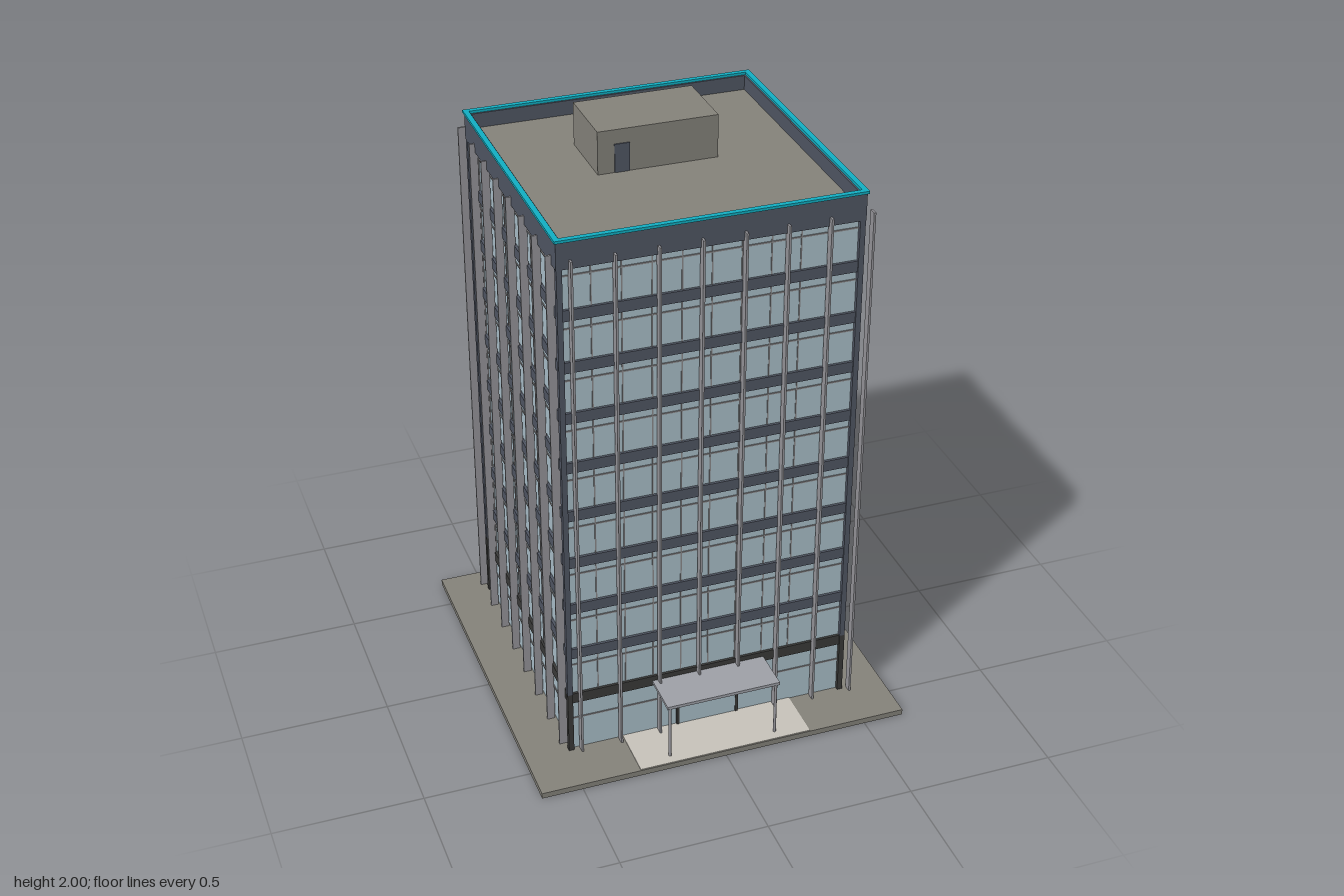
import * as THREE from 'three';

const mat = (name, color) => Object.assign(new THREE.MeshStandardMaterial({ color }), { name });
const M = {
  stone: mat('warm grey concrete', 0x85837b),
  paving: mat('pale paving', 0xc8c4bb),
  glass: mat('blue glass', 0xabc1cb),
  slate: mat('slate cladding', 0x515764),
  dark: mat('dark cladding', 0x3a3a39),
  metal: mat('grey metal', 0x96959a),
  frame: mat('window frame', 0x8b8a8c),
  cyan: mat('cyan trim', 0x12b0c4),
  canopy: mat('canopy grey', 0x9fa1a8),
};

const CZ = -0.037; // tower centre in z
const GROUND = 0.02;

// Box from its minimum and maximum corners
function box(parent, name, m, [x0, y0, z0], [x1, y1, z1]) {
  const mesh = new THREE.Mesh(new THREE.BoxGeometry(x1 - x0, y1 - y0, z1 - z0), m);
  mesh.position.set((x0 + x1) / 2, (y0 + y1) / 2, (z0 + z1) / 2);
  mesh.name = name;
  parent.add(mesh);
  return mesh;
}

// Square block of half width h
const block = (parent, name, m, h, y0, y1) => box(parent, name, m, [-h, y0, -h], [h, y1, h]);

// Hollow square frame
function ring(parent, name, m, outer, inner, y0, y1) {
  const square = (P, h) => new P([[-h, -h], [h, -h], [h, h], [-h, h]].map(([x, y]) => new THREE.Vector2(x, y)));
  const shape = square(THREE.Shape, outer);
  shape.holes.push(square(THREE.Path, inner));
  const geo = new THREE.ExtrudeGeometry(shape, { depth: y1 - y0, bevelEnabled: false });
  geo.rotateX(-Math.PI / 2).translate(0, y0, 0);
  const mesh = new THREE.Mesh(geo, m);
  mesh.name = name;
  parent.add(mesh);
}

export function createModel() {
  const model = new THREE.Group();
  model.name = 'officeTower';

  // Site
  box(model, 'siteSlab', M.stone, [-0.64, 0, -0.63], [0.64, GROUND, 0.63]);
  box(model, 'entrancePath', M.paving, [-0.3, 0.015, 0.42], [0.3, 0.023, 0.628]);

  const tower = new THREE.Group();
  tower.name = 'tower';
  tower.position.z = CZ;
  model.add(tower);

  // Glazed body with spandrel bands
  const G = 0.479;
  block(tower, 'glazing', M.glass, G, GROUND, 1.83);
  block(tower, 'groundBand', M.dark, 0.488, 0.212, 0.25);
  const FLOOR = 0.178;
  for (let i = 0; i < 8; i++) {
    const y = 0.393 + i * FLOOR;
    block(tower, 'spandrelBand', M.slate, 0.488, y, y + 0.038);
  }

  // Thin transoms below each band
  for (let i = 0; i < 9; i++) {
    const y = 0.361 + i * FLOOR;
    block(tower, 'transom', M.frame, G + 0.003, y, y + 0.005);
  }
  block(tower, 'groundTransom', M.frame, G + 0.003, 0.142, 0.147);

  // Fine glazing bars on all four sides
  for (let i = 1; i < 10; i++) {
    const p = -G + (i * 2 * G) / 10;
    for (const s of [-1, 1]) {
      const a = s * (G - 0.003), b = s * (G + 0.003);
      const lo = Math.min(a, b), hi = Math.max(a, b);
      box(tower, 'glazingBar', M.frame, [p - 0.002, 0.25, lo], [p + 0.002, 1.82, hi]);
      box(tower, 'glazingBar', M.frame, [lo, 0.25, p - 0.002], [hi, 1.82, p + 0.002]);
    }
  }

  // Corner columns
  for (const sx of [-1, 1]) for (const sz of [-1, 1]) {
    const column = (name, m, y0, y1) => {
      const c = box(tower, name, m, [-0.009, y0, -0.009], [0.009, y1, 0.009]);
      c.position.x = sx * 0.483;
      c.position.z = sz * 0.483;
    };
    column('cornerColumn', M.slate, 0.25, 1.82);
    column('groundCornerColumn', M.dark, GROUND, 0.25);
  }

  // Tall fins, evenly stepped, the last one running past the corner
  const STEP = 0.1375, TOP = 1.845, W = 0.0035;
  for (let i = 0; i < 8; i++) {
    const x = -0.45 + i * STEP;
    const z = -0.555 - CZ + i * STEP;
    for (const s of [-1, 1]) {
      const lo = s > 0 ? 0.484 : -0.511, hi = s > 0 ? 0.511 : -0.484;
      // entrance fins stop above the canopy
      const y0 = s > 0 && Math.abs(x) < 0.11 ? 0.232 : GROUND;
      box(tower, 'facadeFin', M.metal, [x - W, y0, lo], [x + W, TOP, hi]);
      box(tower, 'sideFin', M.metal, [lo, GROUND, z - W], [hi, TOP, z + W]);
    }
  }

  // Parapet, trim and roof
  ring(tower, 'parapet', M.slate, 0.493, 0.474, 1.815, 1.905);
  ring(tower, 'parapetTrim', M.cyan, 0.498, 0.48, 1.905, 1.914);
  block(tower, 'roof', M.stone, 0.476, 1.825, 1.855);

  // Roof plant room with door
  box(model, 'plantRoom', M.stone, [-0.2, 1.85, -0.284], [0.2, 2, -0.04]);
  box(model, 'plantRoomDoor', M.slate, [-0.145, 1.856, -0.042], [-0.095, 1.952, -0.036]);

  // Front entrance
  const F = G + 0.004;
  box(tower, 'entranceLintel', M.dark, [-0.11, 0.155, G - 0.01], [0.11, 0.215, F + 0.003]);
  for (const s of [-1, 1]) {
    box(tower, 'entranceJamb', M.dark, [s * 0.105 - 0.005, GROUND, G - 0.01], [s * 0.105 + 0.005, 0.16, F + 0.003]);
  }
  box(tower, 'entranceDoor', M.glass, [-0.1, GROUND, G - 0.004], [0.1, 0.155, F]);

  // Canopy on two posts
  box(model, 'canopy', M.canopy, [-0.197, 0.221, 0.44], [0.197, 0.232, 0.6]);
  for (const s of [-1, 1]) {
    const post = new THREE.Mesh(new THREE.CylinderGeometry(0.005, 0.005, 0.203, 10), M.metal);
    post.position.set(s * 0.186, 0.1215, 0.592);
    post.name = 'canopyPost';
    model.add(post);
  }

  // Rear service wall with a small door
  box(tower, 'serviceWall', M.dark, [-0.215, GROUND, -0.487], [0.385, 0.215, -0.47]);
  box(tower, 'serviceDoor', M.canopy, [0.25, GROUND, -0.491], [0.31, 0.125, -0.486]);

  return model;
}
